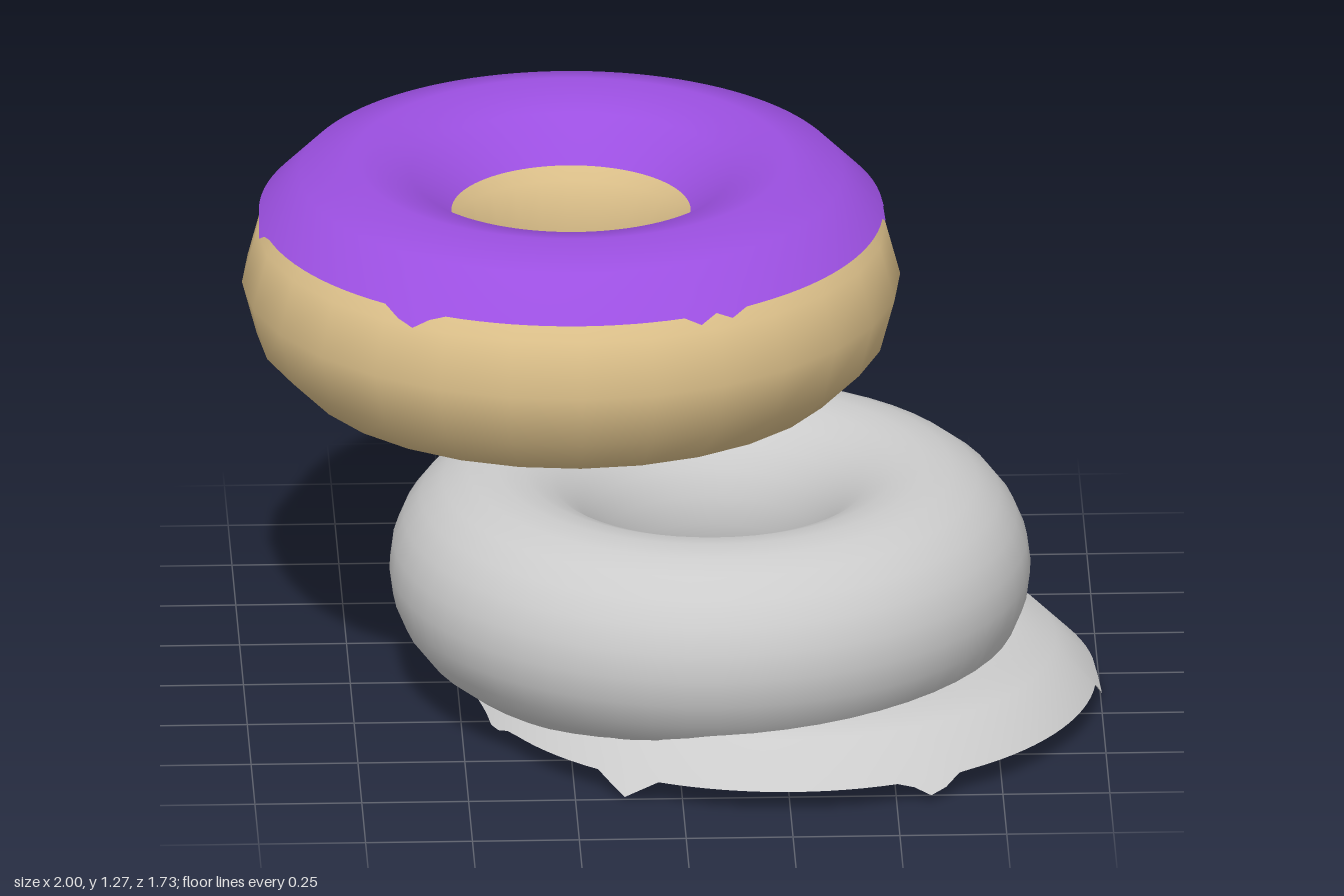
import * as THREE from 'three';

const TAU = Math.PI * 2;

function material(color, side = THREE.FrontSide) {
  return new THREE.MeshStandardMaterial({ color, side });
}

// Ring of dough lying flat
function makeDough(name, ring, tube, tubeSides, ringSides, color) {
  const geo = new THREE.TorusGeometry(ring, tube, tubeSides, ringSides).rotateX(Math.PI / 2);
  const mesh = new THREE.Mesh(geo, material(color));
  mesh.name = name;
  return mesh;
}

// Open icing shell: the top third of a ring, with pointed drips on its outer rim.
// Each drip is [x, z, depth, halfWidth], placed by its direction from the centre.
function makeIcing(name, drips, color) {
  const rows = 4;
  const profile = [];
  for (let i = 0; i <= rows; i++) {
    const a = Math.PI / 6 + (i / rows) * (TAU / 3);
    profile.push(new THREE.Vector2(0.505 + 0.26 * Math.cos(a), 0.26 * Math.sin(a)));
  }
  const geo = new THREE.LatheGeometry(profile, 112);
  const pos = geo.attributes.position;
  for (let i = 0; i < pos.count; i += rows + 1) {
    const x = pos.getX(i), z = pos.getZ(i);
    const angle = Math.atan2(z, x);
    let drop = 0;
    for (const [dx, dz, depth, half] of drips) {
      let d = Math.abs(angle - Math.atan2(dz, dx));
      d = Math.min(d, TAU - d);
      drop = Math.max(drop, depth * (1 - d / half));
    }
    const flare = 1 + drop * 0.35;
    pos.setXYZ(i, x * flare, pos.getY(i) - drop, z * flare);
  }
  const mesh = new THREE.Mesh(geo, material(color, THREE.DoubleSide));
  mesh.name = name;
  return mesh;
}

export function createModel() {
  const group = new THREE.Group();
  group.name = 'doughnuts';

  // Upper doughnut, coloured
  const upperDough = makeDough('upperDough', 0.51, 0.26, 12, 28, 0xdcc08a);
  upperDough.position.set(-0.23, 0.98, -0.1);
  const upperIcing = makeIcing('upperIcing', [
    [-0.4, 0.62, 0.045, 0.1],
    [0.5, -0.53, 0.045, 0.1],
    [-0.13, -0.72, 0.045, 0.1],
    [-0.73, 0.08, 0.03, 0.08],
    [0.28, 0.68, 0.022, 0.05],
    [0.36, 0.64, 0.022, 0.05],
    [0.73, 0.04, 0.022, 0.05],
    [0.73, -0.05, 0.022, 0.05],
  ], 0x9b4fe0);
  upperIcing.position.set(-0.23, 1.02, -0.1);

  // Lower doughnut, grey and rounder
  const lowerDough = makeDough('lowerDough', 0.5, 0.25, 24, 56, 0xcccccc);
  lowerDough.position.set(0.09, 0.31, 0.04);

  // Loose icing shell beneath the lower doughnut
  const lowerIcing = makeIcing('lowerIcing', [
    [-0.69, 0.26, 0.022, 0.1],
    [-0.39, 0.62, 0.048, 0.11],
    [0.33, 0.66, 0.045, 0.1],
    [0.735, 0, 0.055, 0.11],
    [0.525, -0.515, 0.055, 0.11],
    [-0.17, -0.715, 0.045, 0.11],
  ], 0xcccccc);
  lowerIcing.position.set(0.26, -0.07, 0.125);

  group.add(upperDough, upperIcing, lowerDough, lowerIcing);
  return group;
}
